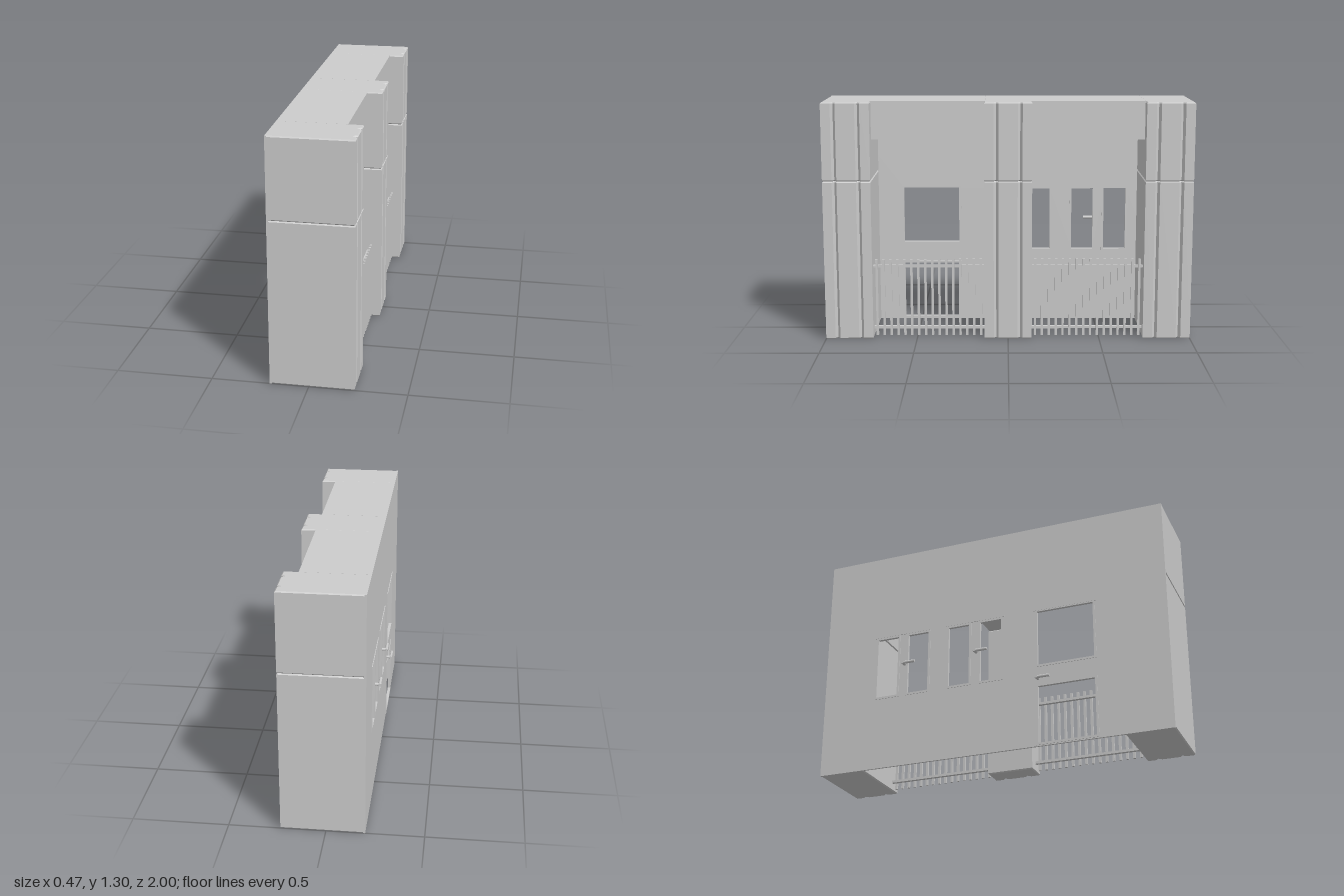
import * as THREE from 'three';

export function createModel() {
  const model = new THREE.Group();
  model.name = 'balconyFacade';
  const plaster = new THREE.MeshStandardMaterial({ color: 0xcccccc });
  plaster.name = 'grey plaster';

  const add = (name, geometry, parent = model) => {
    const mesh = new THREE.Mesh(geometry, plaster);
    mesh.name = name;
    parent.add(mesh);
    return mesh;
  };
  const box = (name, x0, x1, y0, y1, z0, z1, parent) => {
    const g = new THREE.BoxGeometry(x1 - x0, y1 - y0, z1 - z0);
    g.translate((x0 + x1) / 2, (y0 + y1) / 2, (z0 + z1) / 2);
    return add(name, g, parent);
  };

  // Upright panel in the z-y plane with rectangular holes: rect = [z0, z1, y0, y1]
  const corners = ([z0, z1, y0, y1]) =>
    [[-z1, y0], [-z0, y0], [-z0, y1], [-z1, y1]].map(p => new THREE.Vector2(...p));
  const panel = (name, x0, x1, rect, holes, parent) => {
    const shape = new THREE.Shape(corners(rect));
    holes.forEach(h => shape.holes.push(new THREE.Path(corners(h).reverse())));
    const g = new THREE.ExtrudeGeometry(shape, { depth: x1 - x0, bevelEnabled: false });
    g.rotateY(Math.PI / 2).translate(x0, 0, 0);
    return add(name, g, parent);
  };

  // Back wall with its window and door openings
  const openings = [
    [-0.675, -0.55, 0.418, 0.77], [-0.487, -0.365, 0.418, 0.77],
    [-0.24, -0.118, 0.418, 0.77], [-0.052, 0.07, 0.418, 0.77],
    [0.28, 0.595, 0.46, 0.775], [0.28, 0.595, 0.018, 0.335],
  ];
  panel('backWall', -0.2, -0.19, [-1, 1, 0, 1.3], openings);

  // Slim frames around the openings
  const frames = new THREE.Group();
  frames.name = 'frames';
  model.add(frames);
  const f = 0.012;
  openings.forEach(o => panel('frame', -0.203, -0.187,
    [o[0] - f, o[1] + f, o[2] - f, o[3] + f], [o], frames));
  // Shallow ledges over each group of openings
  [[-0.7, -0.345], [-0.255, 0.09], [0.262, 0.613]].forEach(([a, b]) =>
    box('ledge', -0.204, -0.19, 0.782, 0.788, a, b, frames));

  // Pillar block: grooved front profile, small bevel on the joints
  const bevel = 0.006;
  const pillarBlock = (name, back, y0, y1, z) => {
    const w = 0.13, front = 0.233, deep = 0.217, half = 0.013;
    const pts = [[back, -w], [front, -w]];
    [-0.065, 0.065].forEach(c => pts.push([front, c - half], [deep, c], [front, c + half]));
    pts.push([front, w], [back, w]);
    const shape = new THREE.Shape(pts.map(p => new THREE.Vector2(...p)));
    const g = new THREE.ExtrudeGeometry(shape, {
      depth: y1 - y0 - 2 * bevel, bevelThickness: bevel, bevelSize: bevel,
      bevelOffset: -bevel, bevelSegments: 1,
    });
    g.rotateX(-Math.PI / 2).translate(0, y0 + bevel, z);
    return add(name, g);
  };
  [-0.87, 0, 0.87].forEach(z => {
    // The middle pillar is shallow below, so the balcony runs on behind it
    pillarBlock('lowerPillar', z === 0 ? 0.11 : -0.198, 0, 0.875, z);
    pillarBlock('upperPillar', -0.198, 0.875, 1.3, z);
  });

  // Roof beams and railings, one per bay
  [-1, 1].forEach(side => {
    const mid = side * 0.435, half = 0.305;
    box('roofBeam', -0.195, 0.155, 1.093, 1.3, mid - half - 0.005, mid + half + 0.005);

    const railing = new THREE.Group();
    railing.name = 'railing';
    model.add(railing);
    [0.05, 0.395].forEach(y =>
      box('rail', 0.158, 0.177, y - 0.007, y + 0.007, mid - half, mid + half, railing));
    const count = 16;
    for (let i = 0; i < count; i++) {
      const z = mid - half + ((i + 0.5) / count) * 2 * half;
      box('picket', 0.176, 0.188, 0.008, 0.438, z - 0.0065, z + 0.0065, railing);
    }
  });

  // Lever handles: a stem out of the wall and a bar turned sideways
  [[-0.507, 0.595], [-0.075, 0.595], [0.28, 0.38]].forEach(([z, y]) => {
    const handle = new THREE.Group();
    handle.name = 'handle';
    handle.position.set(-0.2, y, z);
    model.add(handle);
    const r = 0.008;
    const stem = new THREE.CylinderGeometry(r, r, 0.045, 10);
    stem.rotateZ(Math.PI / 2).translate(-0.0105, 0, 0);
    add('handleStem', stem, handle);
    const bar = new THREE.CylinderGeometry(r, r, 0.08, 10);
    bar.rotateX(Math.PI / 2).translate(-0.025, 0, 0.032);
    add('handleBar', bar, handle);
  });

  return model;
}
